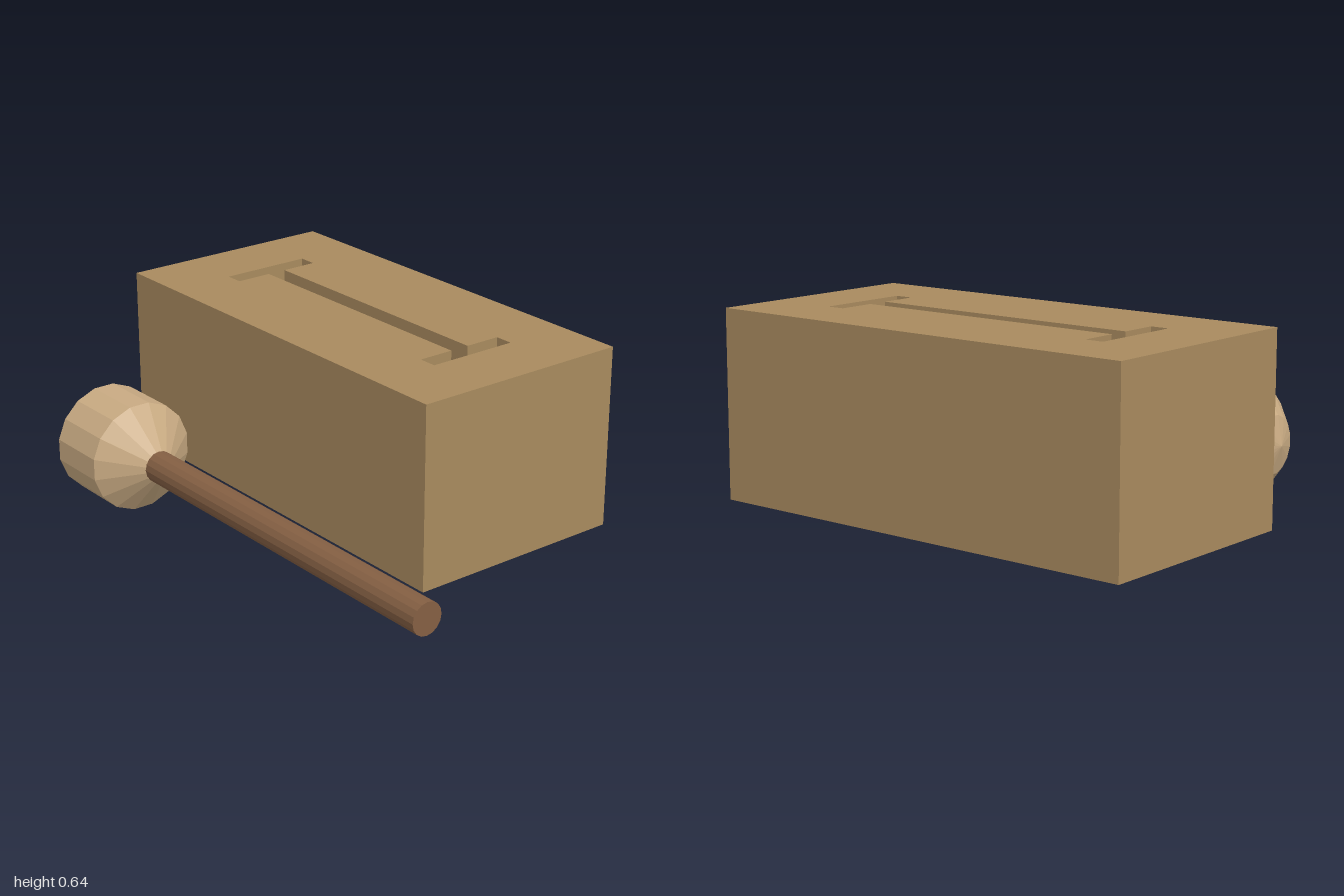
import * as THREE from 'three';
import { mergeGeometries } from 'three/addons/utils/BufferGeometryUtils.js';

const vec = list => list.map(([x, s]) => new THREE.Vector2(x, s));

// Upright walls along a closed plan outline (plan y is -z)
function walls(points, y0, y1) {
  const pos = [];
  points.forEach((a, i) => {
    const b = points[(i + 1) % points.length];
    pos.push(a.x, y0, -a.y, b.x, y0, -b.y, b.x, y1, -b.y);
    pos.push(a.x, y0, -a.y, b.x, y1, -b.y, a.x, y1, -a.y);
  });
  const g = new THREE.BufferGeometry();
  g.setAttribute('position', new THREE.Float32BufferAttribute(pos, 3));
  return g;
}

// Horizontal face looking up (or down when flipped)
function cap(shape, y, flip = false) {
  const g = new THREE.ShapeGeometry(shape).toNonIndexed();
  g.rotateX(-Math.PI / 2);
  if (flip) {
    const p = g.attributes.position;
    for (let i = 0; i < p.count; i += 3) {
      const [x, z] = [p.getX(i), p.getZ(i)];
      p.setXYZ(i, p.getX(i + 1), 0, p.getZ(i + 1));
      p.setXYZ(i + 1, x, 0, z);
    }
  }
  g.deleteAttribute('uv');
  g.deleteAttribute('normal');
  return g.translate(0, y, 0);
}

// Wooden block with an H-shaped slot sunk into its top
function drumGeometry() {
  const height = 0.64, floor = 0.14;
  const outline = vec([[-1, -0.135], [0.595, -0.135], [0.595, 0.665], [-1, 0.665]]);
  const slot = vec([
    [-0.76, 0.1], [-0.76, 0.43], [-0.695, 0.43], [-0.695, 0.3], [0.295, 0.3], [0.295, 0.43],
    [0.36, 0.43], [0.36, 0.1], [0.295, 0.1], [0.295, 0.23], [-0.695, 0.23], [-0.695, 0.1],
  ]);
  const top = new THREE.Shape(outline);
  top.holes.push(new THREE.Path(slot));
  const g = mergeGeometries([
    cap(top, height),
    cap(new THREE.Shape(outline), 0, true),
    cap(new THREE.Shape(slot), floor),
    walls(outline, 0, height),
    walls(slot, floor, height),
  ]);
  g.computeVertexNormals();
  return g;
}

export function createModel() {
  const model = new THREE.Group();
  const add = (parent, name, geometry, color) => {
    const mesh = new THREE.Mesh(geometry, new THREE.MeshStandardMaterial({ color, flatShading: true }));
    mesh.name = name;
    parent.add(mesh);
  };

  add(model, 'slitDrum', drumGeometry(), 0xa88a5e);

  // Mallet lying in front of the drum, axis along x
  const mallet = new THREE.Group();
  mallet.name = 'mallet';
  mallet.position.set(0, 0.188, 0.47);
  const profile = vec([[0, -0.82], [0.1, -0.79], [0.192, -0.712], [0.192, -0.49], [0.055, -0.38], [0, -0.38]]);
  const head = new THREE.LatheGeometry(profile, 16, Math.PI / 16).rotateZ(-Math.PI / 2);
  add(mallet, 'malletHead', head, 0xc8aa82);
  const handle = new THREE.CylinderGeometry(0.055, 0.055, 1.4, 16).rotateZ(-Math.PI / 2).translate(0.3, 0, 0);
  add(mallet, 'malletHandle', handle, 0x845f43);
  model.add(mallet);

  return model;
}
